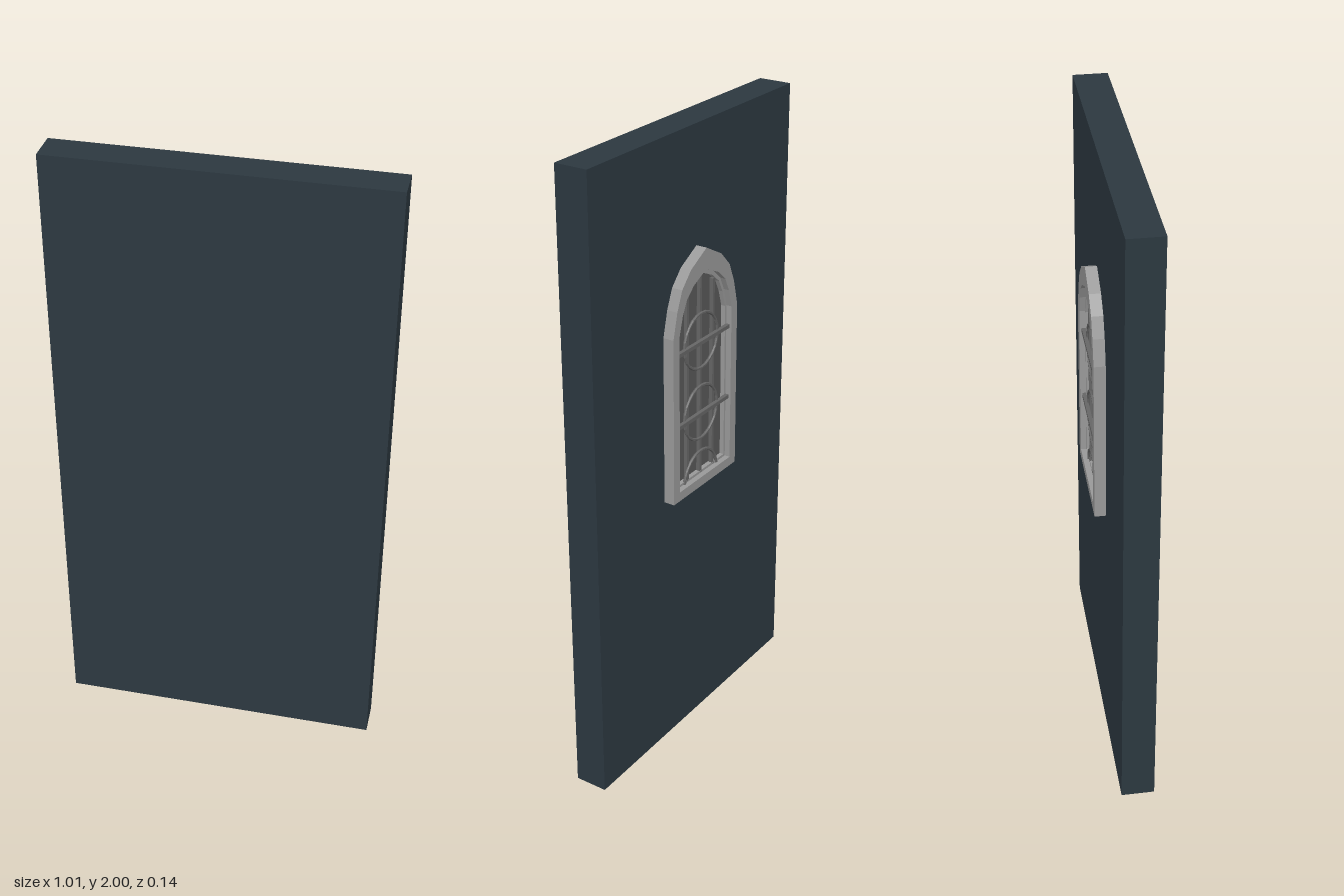
import * as THREE from 'three';

const mat = (color) => new THREE.MeshStandardMaterial({ color, flatShading: true });

// Pointed arch outline: right half listed from the sill to just under the apex, then mirrored
function archPoints(half, apex, bottom) {
  const w = half / 0.17, h = (apex - 1.41) / 0.23;
  const right = [[0.17, 0], [0.15, 0.08], [0.125, 0.14], [0.08, 0.187]]
    .map(([x, y]) => new THREE.Vector2(x * w, 1.41 + y * h));
  right.unshift(new THREE.Vector2(half, bottom));
  const left = right.map((p) => new THREE.Vector2(-p.x, p.y)).reverse();
  return [...right, new THREE.Vector2(0, apex), ...left];
}

export function createModel() {
  const group = new THREE.Group();
  const wallMat = mat(0x2c3840), stone = mat(0x999999), glass = mat(0x585858), iron = mat(0x666666);

  const add = (name, geometry, material, x, y, z) => {
    const mesh = new THREE.Mesh(geometry, material);
    mesh.name = name;
    mesh.position.set(x, y, z);
    group.add(mesh);
    return mesh;
  };

  // Wall slab
  add('wall', new THREE.BoxGeometry(1.015, 2, 0.105), wallMat, 0, 1, 0.0175);

  // Arched window surround: a wide outer moulding and a recessed inner step
  const surround = (name, outer, inner, z) => {
    const shape = new THREE.Shape(archPoints(...outer));
    shape.holes.push(new THREE.Path(archPoints(...inner)));
    const geo = new THREE.ExtrudeGeometry(shape, { depth: -0.034 - z, bevelEnabled: false });
    add(name, geo, stone, 0, 0, z);
  };
  surround('windowFrame', [0.17, 1.64, 0.87], [0.139, 1.575, 0.9], -0.07);
  surround('innerFrame', [0.14, 1.577, 0.899], [0.131, 1.56, 0.908], -0.052);

  // Window pane just in front of the wall
  const pane = new THREE.ExtrudeGeometry(new THREE.Shape(archPoints(0.139, 1.575, 0.9)),
    { depth: 0.004, bevelEnabled: false });
  add('windowPane', pane, glass, 0, 0, -0.038);

  // Upright bars
  for (const [x, top] of [[-0.068, 1.52], [0, 1.565], [0.068, 1.52]]) {
    add('uprightBar', new THREE.BoxGeometry(0.01, top - 0.9, 0.012), iron, x, (top + 0.9) / 2, -0.046);
  }

  // Cross bars
  for (const y of [1.11, 1.345]) {
    add('crossBar', new THREE.BoxGeometry(0.276, 0.012, 0.012), iron, 0, y, -0.058);
  }

  // Tracery rings centred on the cross bars, with a half ring on the sill
  for (const [y, arc] of [[0.89, Math.PI], [1.11, Math.PI * 2], [1.345, Math.PI * 2]]) {
    add('traceryRing', new THREE.TorusGeometry(0.088, 0.005, 6, 24, arc), iron, 0, y, -0.052);
  }

  return group;
}
